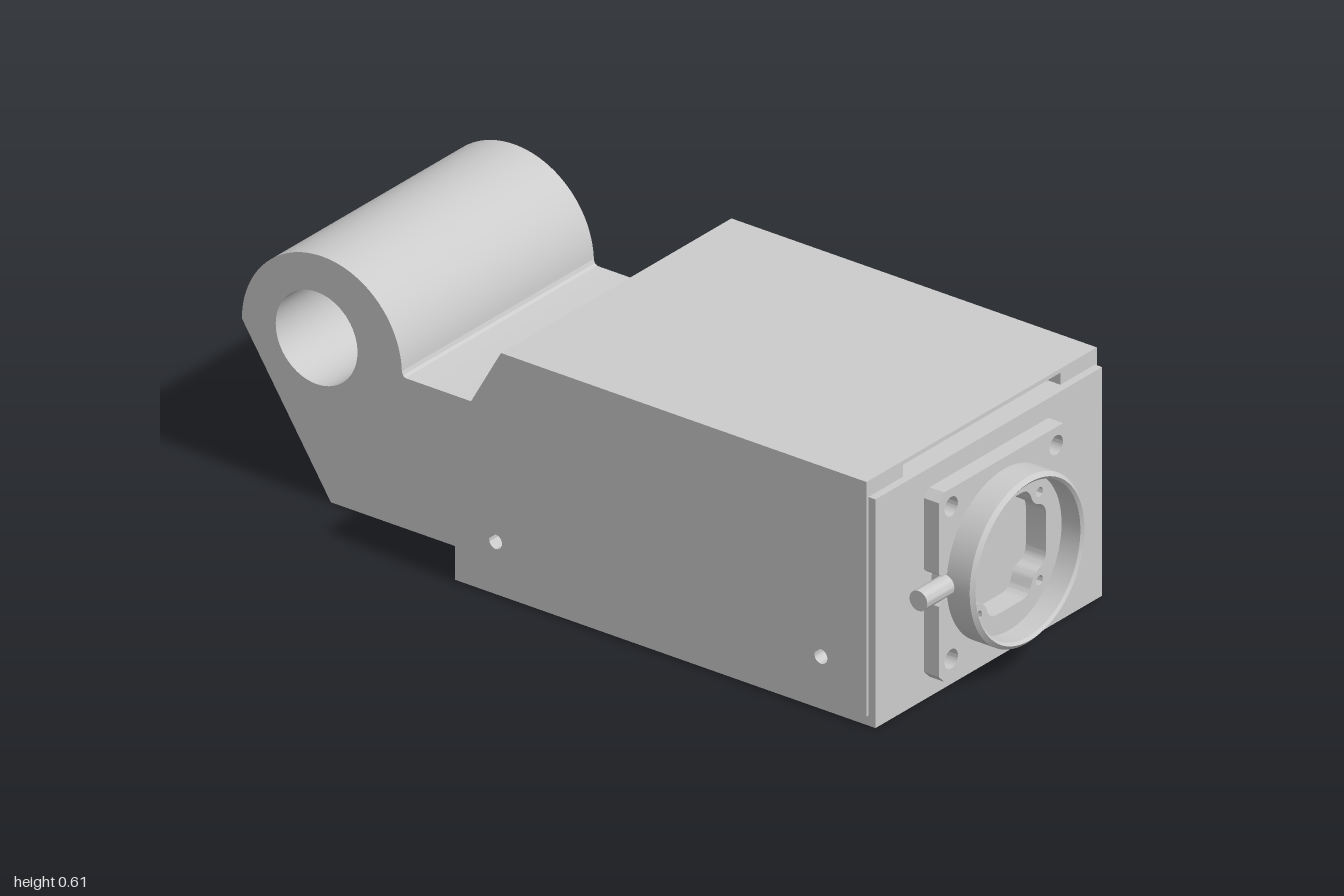
import * as THREE from 'three';
import { toCreasedNormals } from 'three/addons/utils/BufferGeometryUtils.js';

const material = new THREE.MeshStandardMaterial({ color: 0xcccccc });

function add(group, name, geometry) {
  const mesh = new THREE.Mesh(toCreasedNormals(geometry, 0.6), material);
  mesh.name = name;
  group.add(mesh);
  return mesh;
}

function polygon(points) {
  return new THREE.Shape(points.map(([x, y]) => new THREE.Vector2(x, y)));
}

function rect(x0, y0, x1, y1) {
  return polygon([[x0, y0], [x1, y0], [x1, y1], [x0, y1]]);
}

function drill(shape, x, y, r) {
  shape.holes.push(new THREE.Path().absarc(x, y, r, 0, Math.PI * 2, true));
}

// Side profile (x, y) extruded between two z values
function extrudeZ(shape, z0, z1) {
  return new THREE.ExtrudeGeometry(shape, { depth: z1 - z0, bevelEnabled: false, curveSegments: 32 })
    .translate(0, 0, z0);
}

// End profile (-z, y) extruded between two x values
function extrudeX(shape, x0, x1) {
  return new THREE.ExtrudeGeometry(shape, { depth: x1 - x0, bevelEnabled: false, curveSegments: 24 })
    .rotateY(Math.PI / 2).translate(x0, 0, 0);
}

// Four-lobed opening with a cable slot on one side
function lobedOpening(cy) {
  const quarter = new THREE.Path();
  quarter.moveTo(0.045, 0.134);
  quarter.quadraticCurveTo(0.07, 0.134, 0.08, 0.11);
  quarter.quadraticCurveTo(0.087, 0.087, 0.11, 0.08);
  quarter.quadraticCurveTo(0.134, 0.07, 0.134, 0.045);
  const base = quarter.getPoints(8);
  const points = [];
  for (let i = 0; i < 4; i++) {
    for (const p of base) {
      points.push(p.clone().rotateAround(new THREE.Vector2(), -i * Math.PI / 2));
    }
    if (i === 2) {
      for (const [x, y] of [[-0.134, -0.028], [-0.186, -0.028], [-0.186, 0.028], [-0.134, 0.028]]) {
        points.push(new THREE.Vector2(x, y));
      }
    }
  }
  return new THREE.Path(points.map((p) => new THREE.Vector2(p.x, p.y + cy)));
}

export function createModel() {
  const model = new THREE.Group();
  model.name = 'hingedSensorHousing';

  // Hinge arm with a bored barrel
  const arm = new THREE.Shape();
  arm.moveTo(-0.75, 0);
  arm.lineTo(-0.2, 0);
  arm.lineTo(-0.2, 0.375);
  arm.lineTo(-0.535, 0.375);
  arm.quadraticCurveTo(-0.549, 0.375, -0.55, 0.39);
  arm.absarc(-0.775, 0.38, 0.225, 0.044, Math.PI, false);
  drill(arm, -0.79, 0.397, 0.115);
  add(model, 'hingeArm', extrudeZ(arm, -0.415, 0.28));

  // Inner body and the folded cover around it, cross-drilled
  const body = rect(-0.3, 0, 0.81, 0.3);
  const cover = polygon([[-0.29, 0.025], [0.8, 0.025], [0.8, 0.61], [-0.165, 0.61],
    [-0.3, 0.375], [-0.3, 0.3], [-0.29, 0.3]]);
  for (const shape of [body, cover]) {
    for (const x of [-0.18, 0.735]) drill(shape, x, 0.135, 0.018);
  }
  add(model, 'innerBody', extrudeZ(body, -0.41, 0.41));
  add(model, 'cover', extrudeZ(cover, -0.417, 0.417));

  // Cover rim with the long slot above the end plate
  const rim = rect(-0.417, 0.025, 0.417, 0.61);
  rim.holes.push(rect(-0.285, 0.57, 0.285, 0.6));
  const plate = rect(-0.41, 0, 0.41, 0.57);
  for (const shape of [rim, plate]) {
    for (const z of [-0.19, 0.19]) drill(shape, z, 0.477, 0.024);
  }
  add(model, 'coverRim', extrudeX(rim, 0.8, 0.863));
  add(model, 'endPlate', extrudeX(plate, 0.81, 0.883));

  // Square flange with chamfered corners and a cable notch
  const cy = 0.287;
  const flange = polygon([[-0.215, 0.05], [0.215, 0.05], [0.235, 0.07], [0.235, 0.503],
    [0.215, 0.522], [-0.215, 0.522], [-0.235, 0.503], [-0.235, 0.325], [-0.222, 0.315],
    [-0.195, 0.315], [-0.195, 0.255], [-0.222, 0.255], [-0.235, 0.245], [-0.235, 0.07]]);
  for (const z of [-0.19, 0.19]) {
    for (const y of [0.097, 0.477]) drill(flange, z, y, 0.024);
  }
  flange.holes.push(new THREE.Path().absarc(0, cy, 0.192, 0, Math.PI * 2, true));
  add(model, 'flange', extrudeX(flange, 0.883, 0.925));

  // Raised collar
  const collar = [[0.207, 0.883], [0.207, 0.99], [0.197, 0.999], [0.19, 0.993], [0.19, 0.883]]
    .map(([r, h]) => new THREE.Vector2(r, h));
  add(model, 'collar', new THREE.LatheGeometry(collar, 72).rotateZ(-Math.PI / 2).translate(0, cy, 0));

  // Collar floor with the lobed opening and screw holes
  const floor = new THREE.Shape().absarc(0, cy, 0.191, 0, Math.PI * 2, false);
  floor.holes.push(lobedOpening(cy));
  for (const z of [-0.11, 0.11]) {
    for (const y of [-0.11, 0.11]) drill(floor, z, cy + y, 0.012);
  }
  add(model, 'collarFloor', extrudeX(floor, 0.883, 0.94));

  // Cable stub leaving the notch
  add(model, 'cableStub', new THREE.CylinderGeometry(0.025, 0.025, 0.115, 24)
    .rotateX(Math.PI / 2).translate(0.922, cy, 0.2475));

  return model;
}
